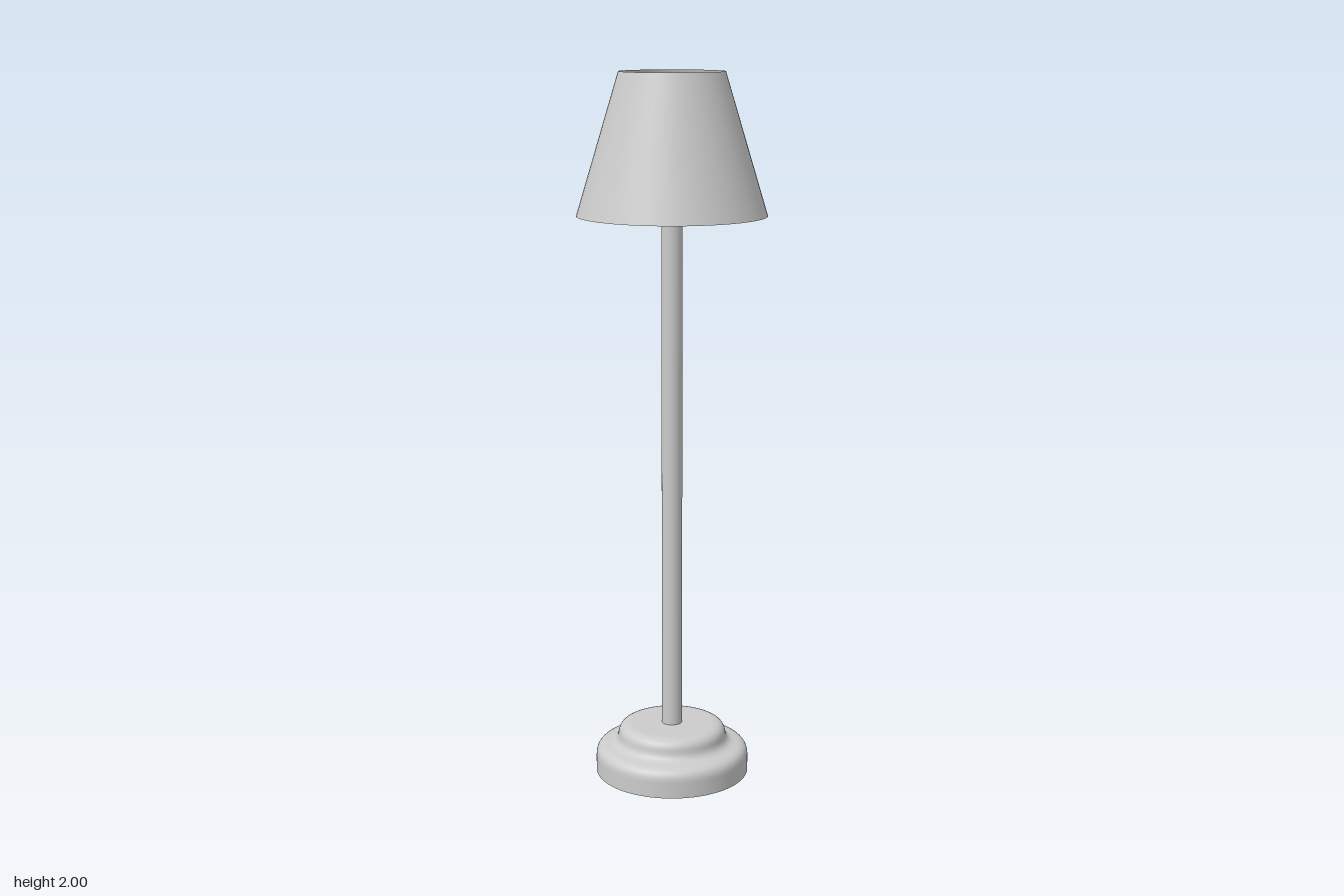
import * as THREE from 'three';

export function createModel() {
  const model = new THREE.Group();
  const grey = new THREE.MeshStandardMaterial({ color: 0xcccccc });
  const greyThin = new THREE.MeshStandardMaterial({ color: 0xcccccc, side: THREE.DoubleSide });

  function add(name, geometry, y = 0, material = grey) {
    const mesh = new THREE.Mesh(geometry, material);
    mesh.name = name;
    mesh.position.y = y;
    model.add(mesh);
    return mesh;
  }

  // Stepped base: rounded lower tier, concave step, rounded upper tier
  const outline = new THREE.Path();
  outline.moveTo(0.22, 0);
  outline.lineTo(0.22, 0.045);
  outline.bezierCurveTo(0.22, 0.07, 0.208, 0.08, 0.185, 0.083);
  outline.bezierCurveTo(0.165, 0.086, 0.157, 0.095, 0.155, 0.112);
  outline.bezierCurveTo(0.153, 0.133, 0.14, 0.142, 0.115, 0.143);
  outline.lineTo(0, 0.143);
  add('base', new THREE.LatheGeometry(outline.getPoints(10), 64));
  add('baseUnderside', new THREE.CircleGeometry(0.22, 64).rotateX(Math.PI / 2));

  // Pole
  const poleBottom = 0.13, poleTop = 1.685;
  add('pole', new THREE.CylinderGeometry(0.029, 0.029, poleTop - poleBottom, 32), (poleTop + poleBottom) / 2);

  // Bulb resting on the pole
  add('bulb', new THREE.SphereGeometry(0.035, 32, 20), 1.728);

  // Two crossed rods carrying the shade
  for (const axis of ['x', 'z']) {
    const rod = add('shadeSupport', new THREE.CylinderGeometry(0.0045, 0.0045, 0.494, 10), 1.655);
    rod.rotation[axis] = Math.PI / 2;
  }

  // Open conical shade
  const shadeBottom = 1.613, shadeTop = 2;
  add('shade', new THREE.CylinderGeometry(0.145, 0.262, shadeTop - shadeBottom, 64, 1, true),
    (shadeTop + shadeBottom) / 2, greyThin);

  return model;
}
